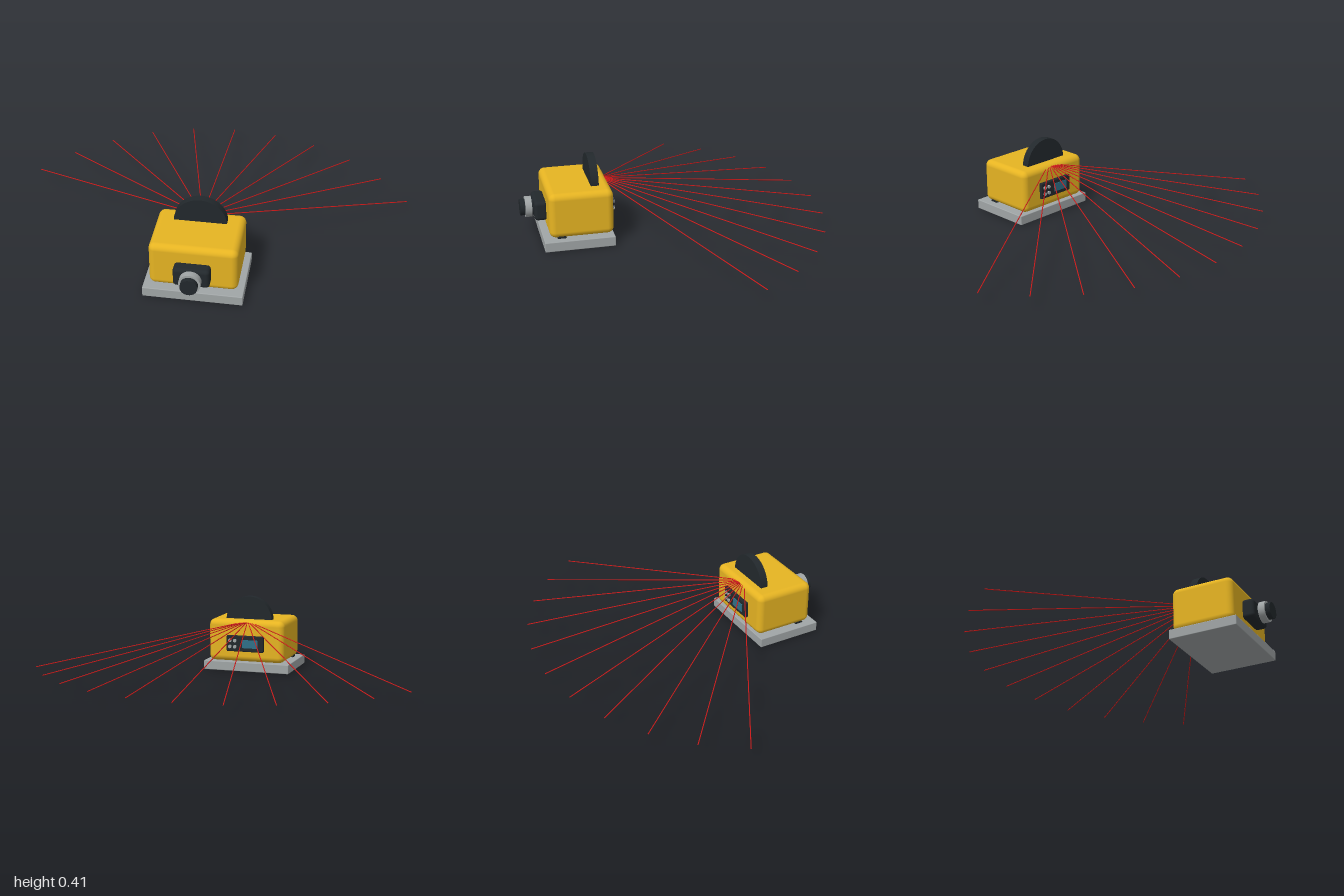
import * as THREE from 'three';
import { RoundedBoxGeometry } from 'three/addons/geometries/RoundedBoxGeometry.js';

const mat = (color) => new THREE.MeshStandardMaterial({ color });
const yellow = mat(0xe6b422), dark = mat(0x22282c), grey = mat(0xa0a5a6);
const red = mat(0xd01a1a), blue = mat(0x2f7088);

export function createModel() {
  const model = new THREE.Group();

  const add = (name, geometry, material, x, y, z) => {
    const mesh = new THREE.Mesh(geometry, material);
    mesh.name = name;
    mesh.position.set(x, y, z);
    model.add(mesh);
    return mesh;
  };
  const box = (w, h, d, r) => (r ? new RoundedBoxGeometry(w, h, d, 4, r) : new THREE.BoxGeometry(w, h, d));
  // Cylinder lying along z
  const zCylinder = (r, length) => new THREE.CylinderGeometry(r, r, length, 40).rotateX(Math.PI / 2);

  // Mounting plate, hinge bar and housing
  add('basePlate', box(0.486, 0.051, 0.353, 0.004), grey, 0, 0.0255, 0.512);
  add('hingeBar', new THREE.CylinderGeometry(0.023, 0.023, 0.41, 24).rotateZ(Math.PI / 2), dark, 0, 0.046, 0.598);
  add('housing', box(0.43, 0.231, 0.322, 0.032), yellow, 0, 0.1695, 0.497);

  // Half-disc fin on top
  const half = new THREE.Shape();
  half.moveTo(-0.13, -0.01);
  half.lineTo(0.13, -0.01);
  half.absarc(0, 0, 0.13, 0, Math.PI, false);
  half.closePath();
  add('topFin', new THREE.ExtrudeGeometry(half, { depth: 0.04, bevelEnabled: false, curveSegments: 40 }),
    dark, 0, 0.28, 0.396);

  // Front connector with knurled-style collar
  add('connectorPlate', box(0.176, 0.1, 0.066, 0.018), dark, 0, 0.154, 0.683);
  add('connectorBarrel', zCylinder(0.042, 0.091), dark, 0, 0.154, 0.7355);
  add('connectorCollar', zCylinder(0.053, 0.033), grey, 0, 0.154, 0.7395);

  // Rear control panel: screen and four buttons
  add('controlPanel', box(0.21, 0.088, 0.024, 0.005), dark, 0, 0.157, 0.331);
  add('screen', box(0.088, 0.045, 0.006), blue, -0.03, 0.157, 0.318);
  for (const x of [0.056, 0.084])
    for (const y of [0.14, 0.174])
      add('button', zCylinder(0.0095, 0.012), grey, x, y, 0.317);

  // Fan of beams: 11 rays at 12 degree steps, sloping down from the rear edge
  for (let i = -5; i <= 5; i++) {
    const a = THREE.MathUtils.degToRad(i * 12);
    const point = (r, y) => new THREE.Vector3(r * Math.sin(a), y, 0.372 - r * Math.cos(a));
    const path = new THREE.LineCurve3(point(0.02, 0.273), point(1.153, 0.065));
    add('beam', new THREE.TubeGeometry(path, 1, 0.0025, 8), red, 0, 0, 0);
  }

  return model;
}
